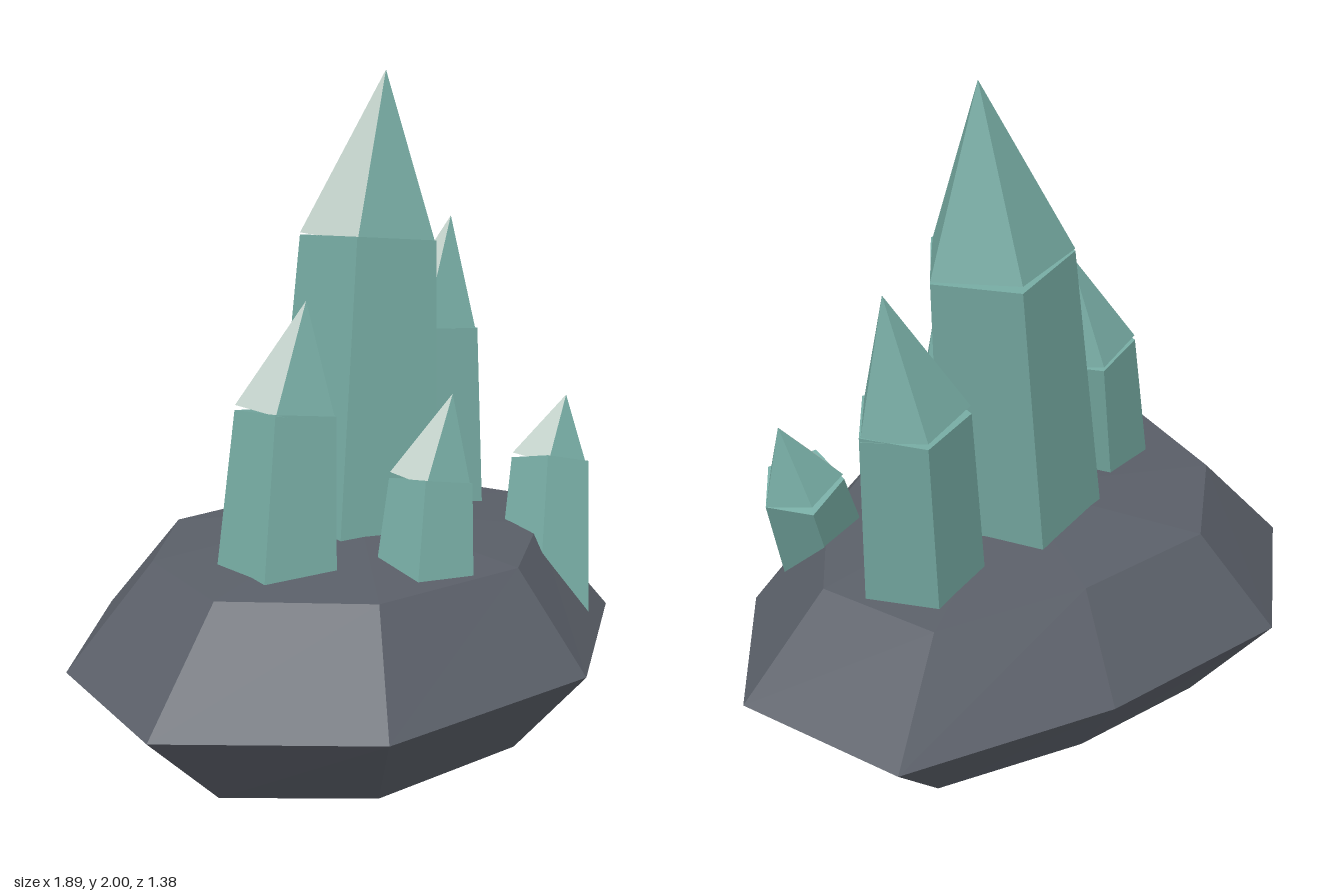
import * as THREE from 'three';

const material = (name, color) => {
  const m = new THREE.MeshStandardMaterial({ color, flatShading: true });
  m.name = name;
  return m;
};

const UP = new THREE.Vector3(0, 1, 0);

// Place a y-aligned geometry of matching height between two points
function span(mesh, from, to) {
  mesh.position.copy(from).add(to).multiplyScalar(0.5);
  mesh.quaternion.setFromUnitVectors(UP, to.clone().sub(from).normalize());
  return mesh;
}

// Faceted stone: rings scaled from one irregular outline
function rockGeometry() {
  const outline = [[-0.46, -0.69], [0.15, -0.69], [0.77, -0.555], [0.945, -0.06], [0.665, 0.365],
    [0.18, 0.69], [-0.51, 0.63], [-0.95, 0.21], [-0.86, -0.31]];
  const cx = 0, cz = -0.05, n = outline.length;
  // y, scale, and sideways slope of each ring
  const rings = [[0.73, 0, 0], [0.658, 0.71, -0.015], [0.38, 1, 0], [0.11, 0.71, 0.01], [0, 0, 0]];
  const positions = [], index = [];
  for (const [y, s, slope] of rings) {
    for (const [x, z] of outline) {
      const px = cx + (x - cx) * s;
      positions.push(px, y + slope * px, cz + (z - cz) * s);
    }
  }
  for (let r = 0; r < rings.length - 1; r++) {
    for (let i = 0; i < n; i++) {
      const j = (i + 1) % n, u = r * n, l = u + n;
      if (r < rings.length - 2) index.push(l + j, l + i, u + i);
      if (r > 0) index.push(l + j, u + i, u + j);
    }
  }
  const g = new THREE.BufferGeometry();
  g.setAttribute('position', new THREE.Float32BufferAttribute(positions, 3));
  g.setIndex(index);
  const flat = g.toNonIndexed();
  flat.computeVertexNormals();
  return flat;
}

// Five-sided crystal: tapering shaft plus a pointed cap with one pale facet
function crystal(name, { base, top, tip, r0, r1 }, mats) {
  const group = new THREE.Group();
  group.name = name;
  const b = new THREE.Vector3(...base), t = new THREE.Vector3(...top), p = new THREE.Vector3(...tip);
  // sink the foot into the stone
  b.addScaledVector(t.clone().sub(b).normalize(), -0.07);

  const shaft = new THREE.Mesh(
    new THREE.CylinderGeometry(r1, r0, b.distanceTo(t), 5, 1, false, Math.PI / 2), mats[0]);
  shaft.name = name + 'Shaft';
  group.add(span(shaft, b, t));

  const cone = new THREE.ConeGeometry(r1, t.distanceTo(p), 5, 1, false, Math.PI / 2).toNonIndexed();
  cone.clearGroups();
  cone.addGroup(0, 6, 0);
  cone.addGroup(6, 3, 1);
  cone.addGroup(9, cone.attributes.position.count - 9, 0);
  const cap = new THREE.Mesh(cone, mats);
  cap.name = name + 'Cap';
  group.add(span(cap, t, p));
  return group;
}

export function createModel() {
  const model = new THREE.Group();
  model.name = 'crystalCluster';
  const stone = material('darkStone', 0x5a5f68);
  const mats = [material('tealCrystal', 0x74a8a0), material('paleFacet', 0xc3d2cb)];

  const rock = new THREE.Mesh(rockGeometry(), stone);
  rock.name = 'rock';
  model.add(rock);

  const crystals = {
    mainCrystal: { base: [0.03, 0.72, -0.075], top: [0.13, 1.52, -0.13], tip: [0.175, 2, -0.12], r0: 0.26, r1: 0.212 },
    backLeftCrystal: { base: [0.43, 0.69, -0.175], top: [0.478, 1.197, -0.225], tip: [0.54, 1.545, -0.21], r0: 0.182, r1: 0.158 },
    rightCrystal: { base: [-0.365, 0.7, 0.04], top: [-0.3, 1.088, 0], tip: [-0.235, 1.393, 0], r0: 0.18, r1: 0.151 },
    frontCrystal: { base: [-0.06, 0.67, 0.305], top: [-0.008, 0.893, 0.27], tip: [0.052, 1.135, 0.285], r0: 0.147, r1: 0.123 },
    frontLeftCrystal: { base: [0.45, 0.47, 0.295], top: [0.572, 0.825, 0.203], tip: [0.632, 1.025, 0.205], r0: 0.147, r1: 0.123 },
  };
  for (const [name, spec] of Object.entries(crystals)) model.add(crystal(name, spec, mats));
  return model;
}
